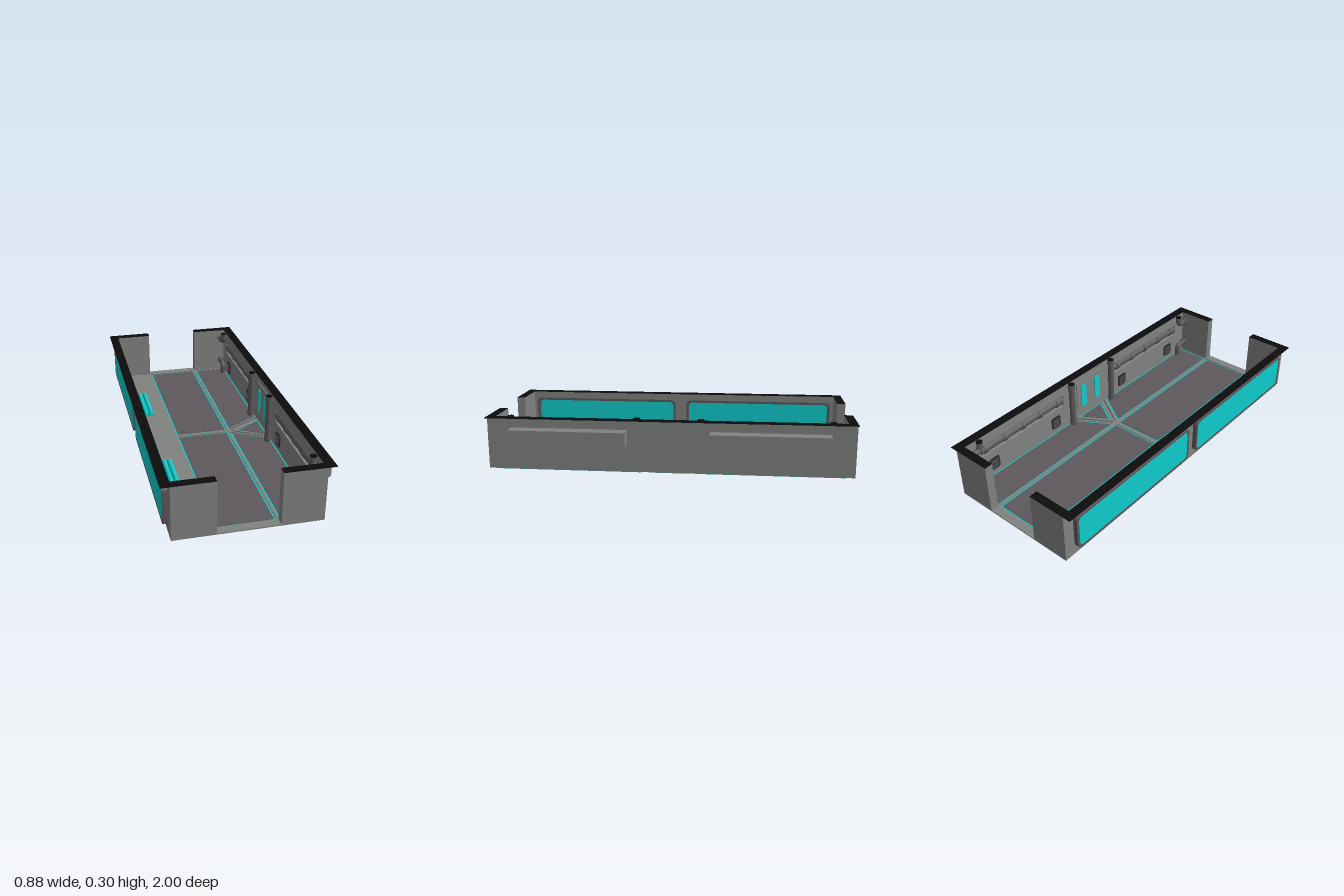
import * as THREE from 'three';

const mat = (name, color, extra = {}) => Object.assign(new THREE.MeshStandardMaterial({ color, ...extra }), { name });

export function createModel() {
  const model = new THREE.Group();
  model.name = 'corridorRoom';
  const grey = mat('wallGrey', 0x808280);
  const dark = mat('panelGrey', 0x5c585c);
  const cyan = mat('cyanGlow', 0x10cccc, { side: THREE.DoubleSide });
  const black = mat('trimBlack', 0x0c0c0c, { side: THREE.DoubleSide });
  const soot = mat('ventDark', 0x2a282a);

  const add = (name, geo, material, x = 0, y = 0, z = 0) => {
    const m = new THREE.Mesh(geo, material);
    m.name = name;
    m.position.set(x, y, z);
    model.add(m);
    return m;
  };
  // box given by its limits
  const box = (name, material, x0, x1, y0, y1, z0, z1) =>
    add(name, new THREE.BoxGeometry(x1 - x0, y1 - y0, z1 - z0), material, (x0 + x1) / 2, (y0 + y1) / 2, (z0 + z1) / 2);
  const poly = (pts, Type = THREE.Shape) => new Type(pts.map(([x, y]) => new THREE.Vector2(x, y)));
  const rect = (x0, x1, y0, y1) => [[x0, y0], [x1, y0], [x1, y1], [x0, y1]];
  // rectangle with rounded corners
  const rounded = (x0, x1, y0, y1, r, Type = THREE.Shape) => {
    const s = new Type();
    s.absarc(x1 - r, y1 - r, r, 0, Math.PI / 2);
    s.absarc(x0 + r, y1 - r, r, Math.PI / 2, Math.PI);
    s.absarc(x0 + r, y0 + r, r, Math.PI, Math.PI * 1.5);
    s.absarc(x1 - r, y0 + r, r, Math.PI * 1.5, Math.PI * 2);
    s.closePath();
    return s;
  };
  const extrude = (shape, depth) => new THREE.ExtrudeGeometry(shape, { depth, bevelEnabled: false, curveSegments: 5 });
  // plate lying flat, from y0 to y1
  const flat = (name, material, shape, y0, y1) => add(name, extrude(shape, y1 - y0).rotateX(-Math.PI / 2), material, 0, y0, 0);
  // plate standing along z, from x0 to x1
  const upright = (name, material, shape, x0, x1) => add(name, extrude(shape, x1 - x0).rotateY(Math.PI / 2), material, x0, 0, 0);

  // move every edge of a convex outline inward by d
  const inset = (pts, d) => {
    const area = pts.reduce((a, [x, y], i) => {
      const [u, v] = pts[(i + 1) % pts.length];
      return a + x * v - u * y;
    }, 0);
    const n = pts.map(([x, y], i) => {
      const [u, v] = pts[(i + 1) % pts.length];
      const l = Math.hypot(u - x, v - y) * Math.sign(area);
      return [-(v - y) / l, (u - x) / l];
    });
    return pts.map(([x, y], i) => {
      const a = n[(i + pts.length - 1) % pts.length], b = n[i];
      const k = d / (1 + a[0] * b[0] + a[1] * b[1]);
      return [x + (a[0] + b[0]) * k, y + (a[1] + b[1]) * k];
    });
  };

  // floor with sunken panels, each in a glowing seam
  const bays = [[[0.19, 0], [0.36, -0.103], [0.36, 0.103]]];
  for (const s of [1, -1]) {
    bays.push(rect(-0.168, 0.136, s * 0.012, s * 0.948));
    bays.push([[0.152, s * 0.948], [0.36, s * 0.948], [0.36, s * 0.148], [0.152, s * 0.022]]);
  }
  const floor = poly([...rect(-0.395, 0.365, -1, 1)]);
  for (const b of bays) {
    floor.holes.push(poly(b, THREE.Path));
    flat('floorSeam', cyan, poly(b), 0.003, 0.006);
    flat('floorPanel', dark, poly(inset(b, 0.009)), 0, 0.009);
  }
  flat('floor', grey, floor, 0.006, 0.012);
  // centre line of each diagonal floor strut
  for (const s of [1, -1]) {
    const strut = box('floorStrut', dark, -0.115, 0.115, 0.011, 0.014, -0.004, 0.004);
    strut.position.set(0.26, 0.0125, s * 0.068);
    strut.rotation.y = -s * 0.54;
  }

  // end walls either side of the doorways
  for (const s of [1, -1]) {
    const z = [0.953 * s, s].sort((a, b) => a - b);
    box('endWall', grey, -0.395, -0.175, 0.01, 0.299, ...z);
    box('endWall', grey, 0.145, 0.365, 0.01, 0.299, ...z);
    flat('topTrim', black, poly(rect(-0.44, -0.175, ...z)), 0.298, 0.3);
    flat('topTrim', black, poly(rect(0.145, 0.41, ...z)), 0.298, 0.3);
  }
  flat('topTrim', black, poly(rect(-0.44, -0.388, -1, 1)), 0.298, 0.3);
  flat('topTrim', black, poly(rect(0.357, 0.41, -1, 1)), 0.298, 0.3);

  // window wall
  const windowWall = poly(rect(-0.953, 0.953, 0.01, 0.299));
  for (const s of [1, -1]) {
    const [z0, z1] = [0.035 * s, 0.935 * s].sort((a, b) => a - b);
    windowWall.holes.push(rounded(z0 + 0.005, z1 - 0.005, 0.052, 0.255, 0.028, THREE.Path));
    const frame = rounded(z0, z1, 0.047, 0.26, 0.03);
    frame.holes.push(rounded(z0 + 0.014, z1 - 0.014, 0.061, 0.246, 0.026, THREE.Path));
    upright('windowFrame', dark, frame, -0.42, -0.384);
    upright('windowGlass', cyan, rounded(z0 + 0.012, z1 - 0.012, 0.059, 0.248, 0.026), -0.419, -0.415);
  }
  upright('windowWall', grey, windowWall, -0.395, -0.388);

  // dark brackets at the foot of the window wall
  for (const [z, w] of [[-0.93, 0.05], [0, 0.06], [0.93, 0.05]]) {
    const profile = poly([[-0.39, 0.01], [-0.345, 0.01], [-0.345, 0.035], [-0.365, 0.07], [-0.39, 0.07]]);
    add('wallBracket', extrude(profile, w), soot, 0, 0, z - w / 2);
  }

  // glowing half-round floor slats
  for (const z of [-0.45, 0.445]) {
    for (let i = 0; i < 4; i++) {
      const slat = new THREE.CylinderGeometry(0.015, 0.015, 0.305, 10, 1, false, -Math.PI / 2, Math.PI);
      slat.rotateX(-Math.PI / 2).scale(1, 1.4, 1);
      add('floorSlat', slat, cyan, -0.36 + i * 0.03, 0.012, z);
    }
  }

  // service wall with two alcoves
  const serviceWall = poly(rect(-0.953, 0.953, 0.01, 0.299));
  for (const s of [1, -1]) {
    const [z0, z1] = [0.225 * s, 0.865 * s].sort((a, b) => a - b);
    serviceWall.holes.push(poly(rect(z0 + 0.004, z1 - 0.004, 0.164, 0.236), THREE.Path));
    box('alcoveBack', grey, 0.436, 0.44, 0.16, 0.24, z0, z1);
    box('alcoveTop', grey, 0.36, 0.438, 0.236, 0.24, z0, z1);
    box('alcoveBottom', grey, 0.36, 0.438, 0.16, 0.164, z0, z1);
    box('alcoveEnd', grey, 0.36, 0.438, 0.161, 0.239, z0, z0 + 0.004);
    box('alcoveEnd', grey, 0.36, 0.438, 0.161, 0.239, z1 - 0.004, z1);

    // pipe with collars in the alcove
    const rod = (r, l) => new THREE.CylinderGeometry(r, r, l, 14).rotateX(Math.PI / 2);
    add('alcovePipe', rod(0.024, 0.63), dark, 0.376, 0.2, s * 0.545);
    for (const z of [0.27, 0.41, 0.545, 0.68, 0.82]) add('pipeCollar', rod(0.029, 0.025), dark, 0.376, 0.2, s * z);

    // upright pipe beside the middle panel
    add('uprightPipe', new THREE.CylinderGeometry(0.018, 0.018, 0.288, 14), dark, 0.335, 0.155, s * 0.175);
    for (const y of [0.03, 0.155, 0.28]) {
      add('pipeCollar', new THREE.CylinderGeometry(0.022, 0.022, 0.02, 14), dark, 0.335, y, s * 0.175);
    }
    add('pipeEnd', new THREE.CylinderGeometry(0.019, 0.019, 0.004, 14), black, 0.335, 0.298, s * 0.175);

    // elbow pipes running into the end wall
    for (const [y0, y1] of [[0.298, 0.24], [0.01, 0.08]]) {
      const path = new THREE.CurvePath();
      const v = (y, z) => new THREE.Vector3(0.335, y, s * z);
      const bend = y1 + Math.sign(y0 - y1) * 0.035;
      path.add(new THREE.LineCurve3(v(y0, 0.875), v(bend, 0.875)));
      path.add(new THREE.QuadraticBezierCurve3(v(bend, 0.875), v(y1, 0.875), v(y1, 0.91)));
      path.add(new THREE.LineCurve3(v(y1, 0.91), v(y1, 0.955)));
      add('elbowPipe', new THREE.TubeGeometry(path, 16, 0.017, 12), dark);
      add('pipeCollar', rod(0.022, 0.012), dark, 0.335, y1, s * 0.945);
    }
    add('pipeEnd', new THREE.CylinderGeometry(0.018, 0.018, 0.004, 14), black, 0.335, 0.298, s * 0.875);

    // small slotted vents
    for (const z of [0.3, 0.78]) {
      upright('vent', soot, rounded(s * z - 0.035, s * z + 0.035, 0.045, 0.12, 0.012), 0.352, 0.358);
      for (let i = 0; i < 4; i++) {
        box('ventSlat', dark, 0.349, 0.353, 0.058 + i * 0.014, 0.063 + i * 0.014, s * z - 0.026, s * z + 0.026);
      }
    }

    // glowing capsule light
    upright('capsuleLight', cyan, rounded(s * 0.06 - 0.022, s * 0.06 + 0.022, 0.075, 0.235, 0.0215), 0.347, 0.353);
  }
  upright('serviceWall', grey, serviceWall, 0.357, 0.365);
  box('middlePanel', grey, 0.352, 0.366, 0.05, 0.265, -0.115, 0.115);

  return model;
}
